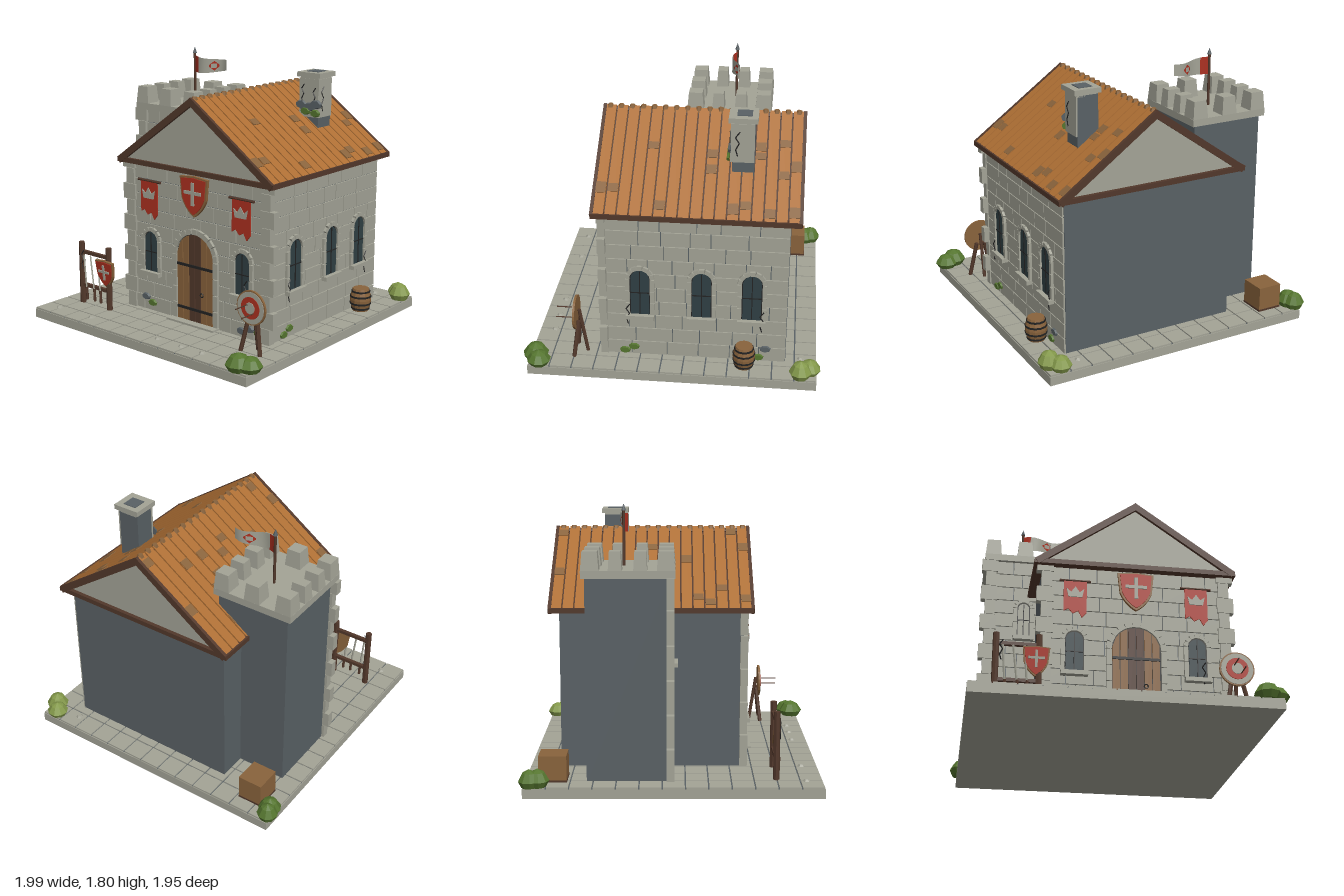
import * as THREE from 'three';

const mat = (name, color, extra = {}) => Object.assign(new THREE.MeshStandardMaterial({ color, ...extra }), { name });

export function createModel() {
  const root = new THREE.Group();
  root.name = 'castleHouse';
  const flat = { flatShading: true };
  const stone = mat('stone', 0xa3a396, flat), slate = mat('slate', 0x596165, flat), tile = mat('roofPlank', 0xae6f34, flat);
  const tan = mat('tanWood', 0x89633c, flat), wood = mat('darkWood', 0x52382b, flat), iron = mat('iron', 0x232323, flat);
  const red = mat('redCloth', 0xad3020, { side: THREE.DoubleSide }), glass = mat('glass', 0x304044);
  const green = mat('leaf', 0x55752f, flat), lime = mat('lightLeaf', 0x83984a, flat);
  const paleCloth = stone; 
  let seed = 7;
  const rnd = () => (seed = (seed * 16807) % 2147483647) / 2147483647;

  const add = (p, name, geo, m, x = 0, y = 0, z = 0) => {
    const mesh = new THREE.Mesh(geo, m);
    mesh.name = name;
    mesh.position.set(x, y, z);
    p.add(mesh);
    return mesh;
  };
  const group = (name, x = 0, y = 0, z = 0, ry = 0, p = root) => {
    const g = new THREE.Group();
    g.name = name;
    g.position.set(x, y, z);
    g.rotation.y = ry;
    p.add(g);
    return g;
  };
  const box = (p, name, m, w, h, d, x, y, z) => add(p, name, new THREE.BoxGeometry(w, h, d), m, x, y, z);
  // box given by its limits
  const span = (p, name, m, x0, x1, y0, y1, z0, z1) =>
    box(p, name, m, x1 - x0, y1 - y0, z1 - z0, (x0 + x1) / 2, (y0 + y1) / 2, (z0 + z1) / 2);
  const plate = (p, name, m, shape, d, x, y, z) =>
    add(p, name, new THREE.ExtrudeGeometry(shape, { depth: d, bevelEnabled: false, curveSegments: 10 }), m, x, y, z);
  const poly = pts => new THREE.Shape(pts.map(([x, y]) => new THREE.Vector2(x, y)));
  // round bar between two points
  const bar = (p, name, m, a, b, r, n = 6) => {
    const A = new THREE.Vector3(...a), B = new THREE.Vector3(...b), d = B.clone().sub(A);
    const o = add(p, name, new THREE.CylinderGeometry(r, r, d.length(), n), m);
    o.position.copy(A).add(B).multiplyScalar(0.5);
    o.quaternion.setFromUnitVectors(new THREE.Vector3(0, 1, 0), d.normalize());
    return o;
  };

  // paved base
  span(root, 'baseSlab', stone, -0.945, 0.945, 0, 0.06, -0.955, 0.935);
  span(root, 'pavingJoints', slate, -0.94, 0.94, 0.06, 0.064, -0.95, 0.93);
  const paving = group('paving'), T = 1.89 / 13;
  for (let i = 0; i < 13; i++) for (let j = 0; j < 13; j++)
    box(paving, 'pavingTile', stone, T - 0.009, 0.013, T - 0.009, -0.945 + (i + 0.5) * T, 0.0655, -0.955 + (j + 0.5) * T);
  for (const [x, z] of [[-0.81, 0.83], [-0.49, 0.83], [0.13, 0.83], [0.335, 0.83], [0.51, 0.83], [0.7, -0.85]])
    add(root, 'pebble', new THREE.CylinderGeometry(0.015, 0.026, 0.014, 6), stone, x, 0.078, z);

  // wall and tower cores
  span(root, 'houseCore', slate, -0.48, 0.735, 0.065, 1.11, -0.75, 0.445);
  span(root, 'towerCore', slate, -0.815, -0.31, 0.065, 1.37, -0.56, -0.035);

  // courses of stone blocks on a face
  const blocks = (name, w, y0, y1, x, z, ry) => {
    const g = group(name, x, 0, z, ry), n = Math.round((y1 - y0) / 0.1), h = (y1 - y0) / n;
    for (let i = 0; i < n; i++) {
      let u = -w / 2;
      while (u < w / 2 - 0.001) {
        let e = u + 0.13 + rnd() * 0.12;
        if (w / 2 - e < 0.09) e = w / 2;
        box(g, 'stoneBlock', stone, e - u - 0.006, h - 0.006, 0.02, (u + e) / 2, y0 + (i + 0.5) * h, 0);
        u = e;
      }
    }
  };
  blocks('frontStones', 1.215, 0.07, 1.1, 0.1275, 0.446, 0);
  blocks('rightStones', 1.2, 0.07, 1.1, 0.736, -0.15, Math.PI / 2);
  blocks('towerStones', 0.505, 0.07, 1.37, -0.5625, -0.034, 0);

  // alternating corner stones
  const quoins = (x, z, out, top) => {
    for (let i = 0, y = 0.07; y < top - 0.02; i++, y += 0.11) {
      const w = i % 2 ? 0.11 : 0.07, h = Math.min(0.107, top - y);
      box(root, 'cornerStone', stone, w, h, 0.05, x + out * (i % 2 ? 0 : -0.01), y + h / 2, z);
    }
  };
  quoins(0.73, 0.446, 1, 1.1);
  quoins(-0.465, 0.446, -1, 1.1);
  quoins(-0.808, -0.03, -1, 1.37);

  // arched openings
  const archShape = (w, h) => {
    const r = w / 2, s = new THREE.Shape();
    s.moveTo(-r, 0);
    s.lineTo(r, 0);
    s.lineTo(r, h - r);
    s.absarc(0, h - r, r, 0, Math.PI);
    s.lineTo(-r, 0);
    return s;
  };
  const archStones = (g, w, h, t, n, d) => {
    const r = w / 2 + t / 2;
    for (let i = 0; i < n; i++) {
      const a = Math.PI * (i + 0.5) / n;
      box(g, 'archStone', stone, t, Math.PI * r / n - 0.003, d, Math.cos(a) * r, h - w / 2 + Math.sin(a) * r, d / 2).rotation.z = a;
    }
    const legs = Math.max(2, Math.round((h - w / 2) / 0.1)), lh = (h - w / 2) / legs;
    for (const s of [-1, 1]) for (let i = 0; i < legs; i++)
      box(g, 'jambStone', stone, t, lh - 0.005, d, s * r, (i + 0.5) * lh, d / 2);
  };
  const windowAt = (x, y, z, ry, w, h, pane = glass) => {
    const g = group('archedWindow', x, y, z, ry);
    plate(g, 'windowRecess', iron, archShape(w + 0.012, h + 0.006), 0.004, 0, 0, 0);
    plate(g, 'windowPane', pane, archShape(w, h), 0.008, 0, 0, 0);
    box(g, 'mullion', iron, 0.006, h - 0.01, 0.005, 0, h / 2, 0.01);
    box(g, 'crossBar', iron, w, 0.006, 0.005, 0, h * 0.5, 0.01);
    archStones(g, w + 0.012, h + 0.006, 0.028, 7, 0.018);
    box(g, 'windowSill', stone, w + 0.065, 0.028, 0.04, 0, -0.014, 0.02);
  };
  for (const x of [-0.27, 0.53]) windowAt(x, 0.36, 0.457, 0, 0.11, 0.275);
  for (const z of [0.205, -0.195, -0.52]) windowAt(0.747, 0.39, z, Math.PI / 2, 0.12, 0.325);
  windowAt(-0.565, 0.795, -0.023, 0, 0.075, 0.25, stone);

  // door
  const door = group('door', 0.13, 0.085, 0.457);
  plate(door, 'doorBack', iron, archShape(0.32, 0.605), 0.006, 0, 0, 0);
  for (let i = 0; i < 6; i++) {
    const x0 = -0.156 + i * 0.052, x1 = x0 + 0.047;
    const top = x => 0.445 + Math.sqrt(Math.max(0, 0.157 ** 2 - x * x));
    plate(door, 'doorPlank', i === 2 || i === 3 ? wood : tan,
      poly([[x0, 0], [x1, 0], [x1, top(x1)], [(x0 + x1) / 2, top((x0 + x1) / 2)], [x0, top(x0)]]), 0.012, 0, 0, 0);
  }
  for (const y of [0.085, 0.385]) box(door, 'ironStrap', iron, 0.31, 0.018, 0.006, 0, y, 0.015);
  add(door, 'doorRing', new THREE.TorusGeometry(0.013, 0.004, 5, 10), iron, 0.06, 0.2, 0.016);
  archStones(door, 0.32, 0.605, 0.036, 11, 0.02);
  span(root, 'doorstep', stone, -0.08, 0.33, 0.07, 0.085, 0.45, 0.525);

  // gable body and roof slopes
  plate(root, 'gable', stone, poly([[-0.62, 1.13], [0.62, 1.13], [0, 1.567]]), 1.275, 0.13, 0, -0.79);
  span(root, 'eaveBoard', wood, -0.54, 0.8, 1.1, 1.133, -0.815, 0.505);
  const L = 0.812, P = 1.3 / 17;
  for (const s of [-1, 1]) {
    const g = group('roofSlope', 0.13 + s * 0.333, 1.365, -0.155);
    g.rotation.z = -s * 0.615;
    box(g, 'roofUnderlay', wood, L, 0.02, 1.3, 0, -0.03, 0);
    for (let i = 0; i < 17; i++) {
      const z = -0.65 + (i + 0.5) * P;
      box(g, 'roofPlank', tile, L, 0.02, P - 0.01, 0, -0.012, z);
      for (let k = 0; k < 2; k++) if (rnd() < 0.6)
        box(g, 'roofPatch', tan, 0.05 + rnd() * 0.03, 0.006, P - 0.012, (rnd() - 0.5) * 0.7, -0.001, z);
    }
    for (const z of [-0.653, 0.653]) box(g, 'rakeBoard', wood, L + 0.01, 0.045, 0.022, 0, -0.021, z);
  }
  for (let i = 0; i < 18; i++)
    add(root, 'ridgeCap', new THREE.CylinderGeometry(0.016, 0.028, 0.035, 6), tan, 0.13, 1.587, -0.77 + i * 0.0725);

  // tower parapet
  span(root, 'parapetFloor', stone, -0.845, -0.285, 1.365, 1.412, -0.582, 0);
  const merlonGeo = new THREE.CylinderGeometry(0.58, Math.SQRT1_2, 1, 4).rotateY(Math.PI / 4);
  const xs = [-0.788, -0.565, -0.342], zs = [-0.525, -0.37, -0.215, -0.057];
  xs.forEach((x, i) => zs.forEach((z, j) => {
    if (i === 1 && (j === 1 || j === 2)) return;
    const end = j === 0 || j === 3;
    add(root, 'merlon', merlonGeo, stone, x, 1.47, z).scale.set(0.112, 0.12, end ? 0.114 : 0.085);
  }));

  // flag
  bar(root, 'flagPole', wood, [-0.565, 1.4, -0.325], [-0.565, 1.765, -0.325], 0.009);
  add(root, 'poleTip', new THREE.ConeGeometry(0.016, 0.045, 6), slate, -0.565, 1.782, -0.325);
  const wave = u => Math.sin(u * 20) * 0.03;
  const flagPart = (name, m, u0, u1, h0, h1, y, dz = 0) => {
    const geo = new THREE.PlaneGeometry(1, 1, 8, 1), p = geo.attributes.position;
    for (let i = 0; i < p.count; i++) {
      const t = p.getX(i) + 0.5, u = u0 + t * (u1 - u0);
      p.setXYZ(i, u, p.getY(i) * (h0 + (h1 - h0) * t) + y - Math.sin(u * 14) * 0.008, wave(u) + dz);
    }
    geo.computeVertexNormals();
    return add(root, name, geo, m, -0.56, 1.685, -0.325);
  };
  const flagCloth = mat('stone', 0xa3a396, { side: THREE.DoubleSide });
  flagCloth.name = 'paleCloth';
  flagPart('flagRed', red, 0, 0.05, 0.118, 0.116, 0);
  flagPart('flagPale', flagCloth, 0.05, 0.28, 0.116, 0.075, 0);
  for (const dz of [-0.004, 0.004]) {
    flagPart('flagEmblem', red, 0.14, 0.175, 0.01, 0.07, 0, dz);
    flagPart('flagEmblem', red, 0.175, 0.21, 0.07, 0.01, 0, dz);
    flagPart('flagEmblemCentre', flagCloth, 0.155, 0.195, 0.03, 0.03, 0, dz * 1.6);
  }

  // thin zigzag cracks in the stone
  const crack = (x, y, z, ry, s = 1) => {
    const g = group('crack', x, y, z, ry), pts = [[0.015, 0.08], [-0.01, 0.045], [0.012, 0.01], [-0.008, -0.03], [0.004, -0.07]];
    for (let i = 0; i < 4; i++) bar(g, 'crackLine', iron, [pts[i][0] * s, pts[i][1] * s, 0], [pts[i + 1][0] * s, pts[i + 1][1] * s, 0], 0.004, 4);
  };

  // chimney
  span(root, 'chimneyCore', slate, 0.365, 0.51, 1.3, 1.66, -0.5, -0.36);
  span(root, 'chimneyFront', stone, 0.362, 0.518, 1.4, 1.66, -0.362, -0.348);
  span(root, 'chimneySide', stone, 0.508, 0.52, 1.4, 1.66, -0.5, -0.35);
  span(root, 'chimneyCap', stone, 0.35, 0.537, 1.67, 1.703, -0.518, -0.335);
  span(root, 'chimneyNeck', stone, 0.37, 0.515, 1.65, 1.672, -0.5, -0.35);
  span(root, 'chimneyHole', slate, 0.395, 0.49, 1.7, 1.707, -0.48, -0.385);
  crack(0.39, 1.55, -0.345, 0, 0.9);
  crack(0.485, 1.53, -0.345, 0, 0.9);
  crack(0.523, 1.52, -0.39, Math.PI / 2, 1.1);

  // flat rocks and moss against walls
  const lump = (x, y, z, ry, m, r = 0.04) => {
    const o = add(root, m === green ? 'moss' : 'rockPatch', new THREE.CylinderGeometry(r * 0.8, r, 0.016, 7).rotateX(Math.PI / 2), m, x, y, z);
    o.scale.y = 0.65;
    o.rotation.y = ry;
  };
  const R = Math.PI / 2;
  [[0.38, 1.48], [0.45, 1.47], [0.5, 1.49]].forEach(([x, y]) => lump(x, y, -0.343, 0, slate, 0.05));
  [[0.42, 1.44], [0.5, 1.43]].forEach(([x, y]) => lump(x, y, -0.335, 0, green, 0.042));
  [[-0.33, 0.165, slate], [-0.27, 0.13, green], [0.52, 0.115, slate], [0.585, 0.14, slate], [0.66, 0.13, green]].forEach(([x, y, m]) => lump(x, y, 0.462, 0, m));
  [[0.31, 0.1, green], [0.25, 0.13, green], [-0.615, 0.165, slate], [-0.57, 0.1, green]].forEach(([z, y, m]) => lump(0.75, y, z, R, m));
  crack(-0.335, 0.4, 0.461, 0);
  crack(0.565, 0.39, 0.48, 0);
  crack(0.77, 0.39, 0.285, R);
  crack(0.77, 0.38, -0.585, R);

  // heraldic shield, drawn about its top centre
  const shieldShape = (w, h) => {
    const s = new THREE.Shape();
    s.moveTo(-w / 2, -h * 0.04);
    s.lineTo(0, 0);
    s.lineTo(w / 2, -h * 0.04);
    s.lineTo(w * 0.44, -h * 0.55);
    s.quadraticCurveTo(w * 0.3, -h * 0.85, 0, -h);
    s.quadraticCurveTo(-w * 0.3, -h * 0.85, -w * 0.44, -h * 0.55);
    return s;
  };
  const shield = (w, h, x, y, z) => {
    const g = group('shield', x, y, z);
    plate(g, 'shieldRim', tan, shieldShape(w, h), 0.02, 0, 0, 0);
    plate(g, 'shieldFace', red, shieldShape(w * 0.88, h * 0.9), 0.008, 0, -h * 0.04, 0.018);
    box(g, 'crossUpright', stone, w * 0.1, h * 0.56, 0.008, 0, -h * 0.43, 0.03);
    box(g, 'crossArm', stone, w * 0.6, h * 0.08, 0.008, 0, -h * 0.4, 0.03);
    return g;
  };
  shield(0.24, 0.275, 0.13, 1.085, 0.46);

  // hanging banners
  for (const x of [-0.27, 0.53]) {
    const g = group('banner', x, 0.995, 0.475);
    bar(g, 'bannerRod', wood, [-0.102, 0, 0], [0.102, 0, 0], 0.009);
    plate(g, 'bannerCloth', red, poly([[-0.075, 0], [-0.075, -0.22], [-0.045, -0.2], [-0.015, -0.235], [0.02, -0.215], [0.045, -0.262], [0.075, -0.225], [0.075, 0]]), 0.008, 0, 0, -0.002);
    plate(g, 'crown', stone, poly([[-0.045, -0.12], [0.045, -0.12], [0.058, -0.06], [0.028, -0.085], [0, -0.045], [-0.028, -0.085], [-0.058, -0.06]]), 0.006, 0, 0, 0.008);
  }

  // weapon rack
  for (const x of [-0.775, -0.51]) bar(root, 'rackPost', wood, [x, 0.07, 0.64], [x, 0.515, 0.64], 0.021, 7);
  for (const y of [0.445, 0.205]) box(root, 'rackRail', wood, 0.29, 0.022, 0.025, -0.643, y, 0.64);
  [[-0.735, -0.715], [-0.67, -0.64], [-0.6, -0.58]].forEach(([a, b]) => {
    bar(root, 'blade', stone, [a, 0.43, 0.66], [b, 0.18, 0.66], 0.007, 4);
    bar(root, 'swordGrip', wood, [b, 0.2, 0.66], [b + 0.004, 0.11, 0.66], 0.01, 5);
  });
  crack(-0.745, 0.39, 0.665, 0, 0.9);
  shield(0.168, 0.195, -0.527, 0.43, 0.655).rotation.x = 0.12;

  // archery target
  const target = group('target', 0.74, 0.37, 0.632);
  [[0.113, tan], [0.104, stone], [0.072, red], [0.037, stone]].forEach(([r, m], i) =>
    add(target, 'targetRing', new THREE.CylinderGeometry(r, r, 0.014, 24).rotateX(R), m, 0, 0, i * 0.004));
  for (const s of [-1, 1]) bar(target, 'targetLeg', wood, [s * 0.03, -0.05, -0.02], [s * 0.078, -0.3, 0.01], 0.014);
  bar(target, 'targetBackLeg', wood, [0, 0.02, -0.02], [0, -0.3, -0.07], 0.012);
  [[-0.02, 0.02], [0.025, -0.03]].forEach(([x, y]) => bar(target, 'arrow', wood, [x, y, 0], [x, y, 0.13], 0.004, 5));

  // barrel with hoops
  const profile = [[0, 0], [0.056, 0], [0.07, 0.05], [0.073, 0.08], [0.07, 0.11], [0.056, 0.16], [0, 0.16]];
  add(root, 'barrel', new THREE.LatheGeometry(profile.map(p => new THREE.Vector2(...p)), 12), tan, 0.815, 0.07, -0.48);
  for (const [y, r] of [[0.02, 0.063], [0.055, 0.072], [0.105, 0.072], [0.14, 0.063]])
    add(root, 'barrelHoop', new THREE.CylinderGeometry(r + 0.002, r + 0.002, 0.012, 12), iron, 0.815, 0.07 + y, -0.48);

  // crate
  span(root, 'crate', tan, -0.84, -0.672, 0.07, 0.242, -0.862, -0.685);
  span(root, 'crateFoot', wood, -0.842, -0.67, 0.07, 0.085, -0.864, -0.683);

  // faceted bushes
  const bush = (x, z, r, h, m) => {
    const pts = [[0, 0], [0.72, 0], [1, 0.35], [0.6, 0.8], [0, 1]].map(([a, b]) => new THREE.Vector2(a * r, b * h));
    add(root, 'bush', new THREE.LatheGeometry(pts, 9), m, x, 0.07, z);
  };
  bush(-0.925, -0.91, 0.07, 0.115, green);
  bush(-0.91, -0.86, 0.075, 0.115, green);
  bush(0.85, -0.91, 0.072, 0.1, lime);
  bush(0.9, -0.85, 0.075, 0.12, lime);
  bush(0.85, 0.89, 0.085, 0.115, green);
  bush(0.915, 0.86, 0.08, 0.1, green);
  return root;
}
